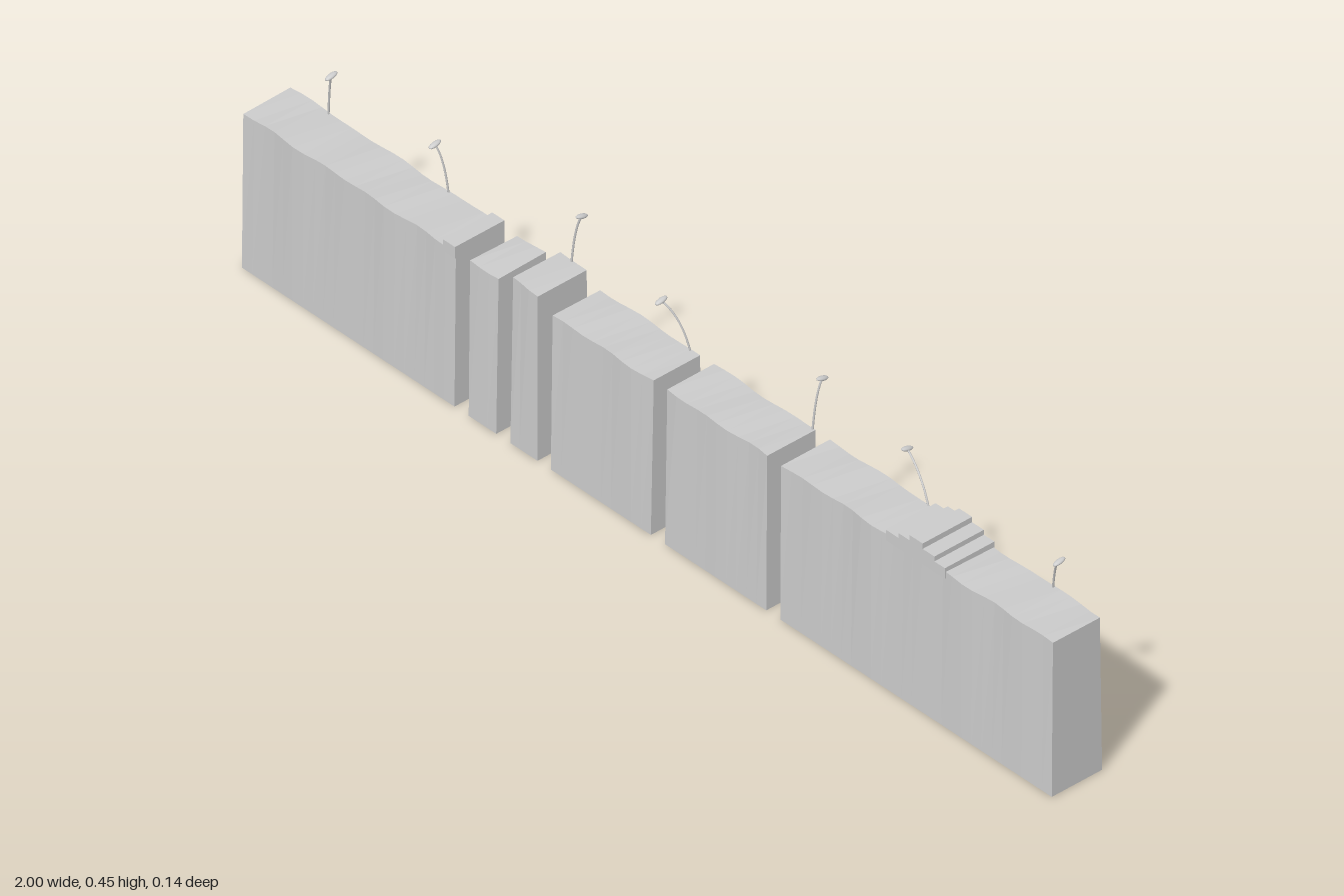
import * as THREE from 'three';

const FRONT = 0.07, BACK = -0.043, TOP = 0.317;

// Gentle irregular wave between 0 and 1
const wave = (x, phase) =>
  0.5 + 0.25 * Math.sin(x * 31 + phase) + 0.25 * Math.sin(x * 53 + phase * 2.3);

export function createModel() {
  const group = new THREE.Group();
  const mat = new THREE.MeshStandardMaterial({ color: 0xcccccc, flatShading: true });
  const smooth = new THREE.MeshStandardMaterial({ color: 0xcccccc });

  function add(name, geometry, material = mat, parent = group) {
    const mesh = new THREE.Mesh(geometry, material);
    mesh.name = name;
    parent.add(mesh);
    return mesh;
  }

  // Ground block: straight at the foot, with worn, wavy upper edges
  function block(name, x0, x1, height) {
    const w = x1 - x0, d = FRONT - BACK;
    const geo = new THREE.BoxGeometry(w, height, d, Math.max(2, Math.round(w / 0.025)), 1, 1);
    geo.translate((x0 + x1) / 2, height / 2, (FRONT + BACK) / 2);
    const p = geo.attributes.position;
    for (let i = 0; i < p.count; i++) {
      if (p.getY(i) < height / 2) continue;
      const x = p.getX(i), front = p.getZ(i) > 0;
      const k = wave(x, front ? 0.4 : 2.1);
      p.setZ(i, front ? FRONT - 0.007 * k : BACK + 0.005 * k);
      p.setY(i, height - 0.004 * wave(x, front ? 1.2 : 3));
    }
    geo.computeVertexNormals();
    add(name, geo);
  }

  [
    ['leftLongBlock', -1, -0.475, TOP + 0.002],
    ['firstPillar', -0.44, -0.372, TOP + 0.004],
    ['tallPillar', -0.337, -0.27, 0.341],
    ['middleBlockA', -0.237, 0.01, TOP + 0.002],
    ['middleBlockB', 0.045, 0.295, TOP + 0.002],
    ['rightLongBlock', 0.33, 1, TOP + 0.002],
  ].forEach(a => block(...a));

  // Slabs stacked on the ground: one edge step and a small stepped mound
  [
    ['edgeStep', -0.505, -0.475, 0.329],
    ['moundLower', 0.59, 0.735, 0.327],
    ['moundMiddle', 0.62, 0.709, 0.337],
    ['moundTop', 0.648, 0.68, 0.348],
  ].forEach(([name, x0, x1, top]) => {
    const y0 = 0.305;
    add(name, new THREE.BoxGeometry(x1 - x0, top - y0, FRONT - BACK - 0.002))
      .position.set((x0 + x1) / 2, (top + y0) / 2, (FRONT + BACK) / 2);
  });

  // Slender bent lamps along the back edge: base x, base y, tip x, tip y, tip z
  [
    [-0.905, 0.31, -0.884, 0.412, -0.025],
    [-0.608, 0.31, -0.627, 0.412, -0.024],
    [-0.305, 0.335, -0.285, 0.441, -0.043],
    [-0.010, 0.31, -0.056, 0.407, -0.013],
    [0.290, 0.31, 0.296, 0.418, -0.055],
    [0.578, 0.31, 0.502, 0.384, -0.058],
    [0.884, 0.31, 0.928, 0.406, -0.012],
  ].forEach(([bx, by, tx, ty, tz]) => {
    const lamp = new THREE.Group();
    lamp.name = 'bentLamp';
    group.add(lamp);
    const path = new THREE.QuadraticBezierCurve3(
      new THREE.Vector3(bx, by, -0.038),
      new THREE.Vector3(bx + (tx - bx) * 0.3, by + (ty - by) * 0.75, -0.038 + (tz + 0.038) * 0.3),
      new THREE.Vector3(tx, ty, tz));
    add('lampStem', new THREE.TubeGeometry(path, 12, 0.002, 6), smooth, lamp);
    const head = add('lampHead', new THREE.SphereGeometry(1, 12, 8), smooth, lamp);
    head.scale.set(0.006, 0.004, 0.0135);
    head.position.set(tx, ty, tz);
    head.rotation.x = tz < -0.035 ? -0.25 : 0.2;
  });

  return group;
}
